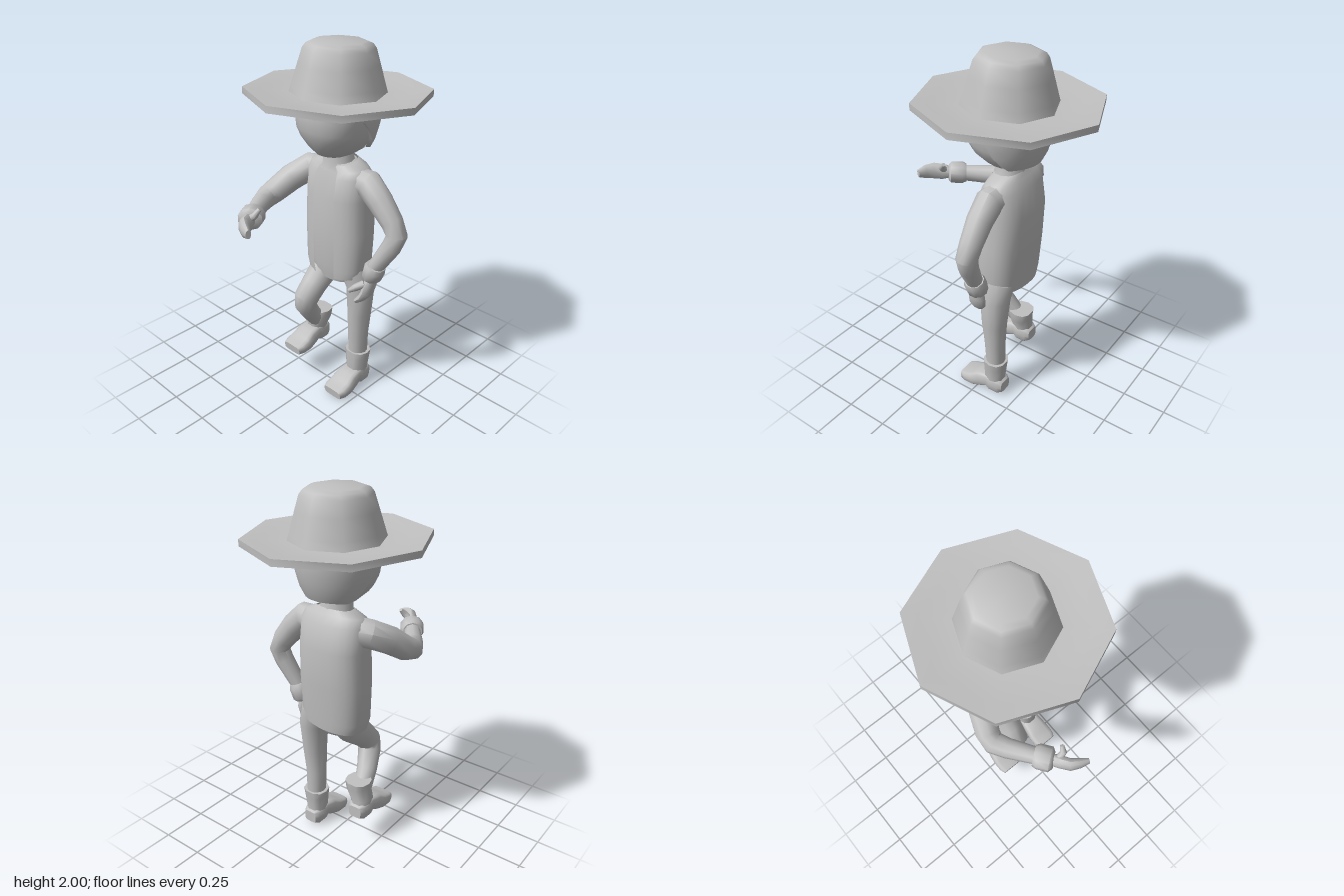
import * as THREE from 'three';
import { toCreasedNormals } from 'three/addons/utils/BufferGeometryUtils.js';

const grey = new THREE.MeshStandardMaterial({ color: 0xc0c0c0, side: THREE.DoubleSide });
grey.name = 'plain grey';

// Skin a list of rings (equal-length arrays of Vector3), optionally closed and capped
function skin(rings, closed = true, caps = true) {
  const n = rings[0].length, pos = [], idx = [];
  rings.forEach((r) => r.forEach((p) => pos.push(p.x, p.y, p.z)));
  const cols = closed ? n : n - 1;
  for (let i = 0; i < rings.length - 1; i++) {
    for (let j = 0; j < cols; j++) {
      const k = (j + 1) % n, a = i * n + j, b = i * n + k;
      idx.push(a, b, b + n, a, b + n, a + n);
    }
  }
  if (caps) {
    [0, rings.length - 1].forEach((i) => {
      const c = new THREE.Vector3();
      rings[i].forEach((p) => c.addScaledVector(p, 1 / n));
      const ci = pos.length / 3;
      pos.push(c.x, c.y, c.z);
      for (let j = 0; j < n; j++) {
        const a = i * n + j, b = i * n + ((j + 1) % n);
        if (i === 0) idx.push(ci, b, a); else idx.push(ci, a, b);
      }
    });
  }
  const g = new THREE.BufferGeometry();
  g.setAttribute('position', new THREE.Float32BufferAttribute(pos, 3));
  g.setIndex(idx);
  return toCreasedNormals(g, 0.9);
}

// Rounded cross-sections [x, y, z, a, b] swept along their centres; a lies along "side"
function sweep(pts, { side = [1, 0, 0], n = 10, e = 2, arc = null } = {}) {
  const c = pts.map((p) => new THREE.Vector3(p[0], p[1], p[2]));
  const rings = pts.map((p, i) => {
    const t = c[Math.min(i + 1, c.length - 1)].clone().sub(c[Math.max(i - 1, 0)]).normalize();
    const u = new THREE.Vector3(...side);
    u.addScaledVector(t, -u.dot(t)).normalize();
    const v = t.clone().cross(u);
    const ring = [];
    for (let j = 0; j < n; j++) {
      const q = arc ? arc[0] + (arc[1] - arc[0]) * j / (n - 1) : j / n * Math.PI * 2;
      const f = (s) => Math.sign(s) * Math.pow(Math.abs(s), 2 / e);
      ring.push(c[i].clone().addScaledVector(u, p[3] * f(Math.cos(q)))
        .addScaledVector(v, (p[4] ?? p[3]) * f(Math.sin(q))));
    }
    return ring;
  });
  return skin(rings, !arc, !arc);
}

function lathe(points, sides) {
  const g = new THREE.LatheGeometry(points.map((p) => new THREE.Vector2(...p)), sides);
  return toCreasedNormals(g, 0.9);
}

// Piecewise-linear lookup in [[key, value], ...] with rising keys
function lookup(table, x) {
  if (x <= table[0][0]) return table[0][1];
  for (let i = 1; i < table.length; i++) {
    const [x0, y0] = table[i - 1], [x1, y1] = table[i];
    if (x <= x1) return y0 + (y1 - y0) * (x - x0) / (x1 - x0);
  }
  return table[table.length - 1][1];
}

// Hair shell with a jagged fringe and a longer back
function hairGeometry() {
  const n = 32, rows = 6, rings = [];
  const edge = [[-0.27, 1.47], [-0.2, 1.465], [-0.14, 1.51], [-0.1, 1.58], [-0.03, 1.65], [0.03, 1.67]];
  const width = [[1.46, 0.165], [1.52, 0.195], [1.62, 0.22], [1.72, 0.225]];
  for (let i = -1; i <= rows; i++) {
    const ring = [];
    for (let j = 0; j < n; j++) {
      const q = j / n * Math.PI * 2, z = -0.08 - 0.225 * Math.sin(q);
      const low = lookup(edge, z) + (z > 0.03 ? [0.012, -0.012, 0.004][j % 3] : 0);
      const y = low + (1.75 - low) * Math.max(i, 0) / rows;
      const r = lookup(width, y) * (i < 0 ? 0.86 : 1);
      ring.push(new THREE.Vector3(r * Math.cos(q), y, -0.08 - r * Math.sin(q)));
    }
    rings.push(ring);
  }
  return skin(rings, true, false);
}

// Boot: upright shaft, foot with arch and toe
function makeBoot(add, name, dx, dy, dz, lean) {
  const boot = new THREE.Group();
  boot.name = name;
  add(name + 'Shaft', sweep([
    [0, 0.04, -0.105, 0.055, 0.055], [0, 0.12, -0.1, 0.058, 0.06],
    [lean, 0.19, -0.103, 0.066, 0.064], [lean, 0.235, -0.105, 0.073, 0.067],
  ], { e: 2.4 }), boot);
  add(name + 'Foot', sweep([
    [0, 0.06, -0.17, 0.04, 0.035], [0, 0.06, -0.145, 0.055, 0.05],
    [0, 0.065, -0.095, 0.06, 0.053], [0, 0.078, -0.07, 0.06, 0.045],
    [0, 0.065, -0.02, 0.067, 0.05], [0, 0.042, 0.03, 0.074, 0.042],
    [0, 0.034, 0.08, 0.074, 0.033], [0, 0.03, 0.112, 0.062, 0.026],
  ], { n: 16, e: 4 }), boot);
  boot.position.set(dx, dy, dz);
  return boot;
}

export function createModel() {
  const model = new THREE.Group();
  model.name = 'figure';
  const add = (name, geometry, parent = model) => {
    const m = new THREE.Mesh(geometry, grey);
    m.name = name;
    parent.add(m);
    return m;
  };

  // Eight-sided hat, tipped slightly back
  const hat = new THREE.Group();
  hat.name = 'hat';
  hat.position.set(0, 1.74, -0.08);
  hat.rotation.x = -0.026;
  add('hatBrim', lathe([[0, -0.015], [0.2, -0.025], [0.3, -0.022], [0.4, -0.012],
    [0.478, -0.007], [0.478, 0.028], [0.4, 0.02], [0.3, 0.008], [0.22, 0.008]], 8), hat);
  add('hatCrown', lathe([[0.25, 0], [0.235, 0.05], [0.205, 0.15], [0.182, 0.225],
    [0.165, 0.248], [0.135, 0.26], [0, 0.262]], 8), hat);
  model.add(hat);

  // Head, hair and neck
  add('head', sweep([
    [0, 1.43, -0.02, 0.06, 0.07], [0, 1.455, -0.025, 0.105, 0.115], [0, 1.5, -0.04, 0.16, 0.163],
    [0, 1.56, -0.055, 0.193, 0.188], [0, 1.64, -0.06, 0.203, 0.198], [0, 1.74, -0.065, 0.2, 0.195],
  ], { n: 20, e: 2.2 }));
  add('hair', hairGeometry());
  add('neck', sweep([[0, 1.35, -0.09, 0.115, 0.095], [0, 1.4, -0.09, 0.085, 0.08],
    [0, 1.5, -0.085, 0.085, 0.08]], { n: 12 }));

  // Shirt showing between the jacket panels
  add('shirt', sweep([
    [0, 0.71, -0.095, 0.14, 0.1], [0, 0.8, -0.09, 0.165, 0.115], [0, 1.0, -0.095, 0.18, 0.122],
    [0, 1.2, -0.1, 0.18, 0.126], [0, 1.34, -0.095, 0.17, 0.095], [0, 1.395, -0.09, 0.1, 0.075],
  ], { n: 20, e: 2.5 }));

  // Open jacket
  add('jacket', sweep([
    [0.012, 0.735, -0.09, 0.182, 0.125], [0.008, 0.79, -0.09, 0.196, 0.13],
    [0.004, 1.0, -0.098, 0.202, 0.136], [0, 1.2, -0.105, 0.195, 0.138],
    [0, 1.33, -0.1, 0.195, 0.115], [0, 1.37, -0.095, 0.175, 0.09], [0, 1.397, -0.09, 0.105, 0.078],
  ], { n: 25, e: 2.5, arc: [-Math.PI / 2 + 0.3, Math.PI * 1.5 - 0.3] }));

  // Left arm hangs down with the elbow out
  add('leftSleeve', sweep([
    [0.12, 1.3, -0.1, 0.075, 0.075], [0.2, 1.3, -0.1, 0.072, 0.08], [0.28, 1.23, -0.1, 0.066, 0.072],
    [0.36, 1.135, -0.105, 0.058, 0.062], [0.395, 1.07, -0.105, 0.056, 0.058],
    [0.37, 1.0, -0.095, 0.053, 0.053], [0.285, 0.85, -0.07, 0.043, 0.043],
  ], { side: [0, 0, 1] }));
  add('leftCuff', sweep([[0.295, 0.87, -0.07, 0.054, 0.05], [0.285, 0.845, -0.07, 0.062, 0.06],
    [0.265, 0.79, -0.07, 0.058, 0.054], [0.26, 0.775, -0.07, 0.045, 0.04]], { side: [0, 0, 1] }));
  add('leftHand', sweep([
    [0.265, 0.79, -0.065, 0.03, 0.028], [0.262, 0.74, -0.06, 0.05, 0.03],
    [0.25, 0.69, -0.055, 0.05, 0.029], [0.225, 0.65, -0.04, 0.038, 0.022],
    [0.195, 0.622, -0.025, 0.02, 0.013],
  ], { side: [0, 0, 1] }));
  add('leftThumb', sweep([[0.25, 0.755, -0.03, 0.022], [0.215, 0.73, 0.005, 0.02],
    [0.18, 0.7, 0.012, 0.012]], { side: [0, 0, 1], n: 8 }));

  // Right arm reaches forward with the elbow bent
  add('rightSleeve', sweep([
    [-0.12, 1.3, -0.1, 0.075, 0.075], [-0.2, 1.295, -0.08, 0.078, 0.075],
    [-0.255, 1.24, 0.02, 0.074, 0.07], [-0.295, 1.175, 0.11, 0.066, 0.064],
    [-0.3, 1.155, 0.165, 0.06, 0.06], [-0.265, 1.155, 0.23, 0.053, 0.053],
    [-0.165, 1.165, 0.375, 0.043, 0.043],
  ], { side: [0, 1, 0] }));
  add('rightCuff', sweep([[-0.188, 1.165, 0.345, 0.05, 0.054], [-0.175, 1.165, 0.362, 0.06, 0.066],
    [-0.138, 1.167, 0.415, 0.06, 0.066], [-0.128, 1.168, 0.427, 0.044, 0.046]], { side: [0, 1, 0] }));
  add('rightHand', sweep([
    [-0.14, 1.168, 0.41, 0.03, 0.03], [-0.11, 1.17, 0.455, 0.048, 0.032],
    [-0.08, 1.175, 0.5, 0.05, 0.03], [-0.04, 1.178, 0.525, 0.042, 0.024],
    [0.002, 1.178, 0.543, 0.024, 0.014],
  ], { side: [0, 1, 0] }));
  add('rightThumb', sweep([[-0.105, 1.19, 0.44, 0.02], [-0.075, 1.215, 0.435, 0.018],
    [-0.065, 1.245, 0.41, 0.011]], { side: [0, 0, 1], n: 8 }));

  // Trousers: hips, straight left leg and bent right leg
  add('hips', sweep([[0.01, 0.68, -0.1, 0.08, 0.06], [0.01, 0.72, -0.1, 0.145, 0.09],
    [0.01, 0.82, -0.095, 0.165, 0.11]], { n: 16, e: 2.4 }));
  add('leftLeg', sweep([
    [0.13, 0.78, -0.1, 0.085, 0.1], [0.158, 0.68, -0.105, 0.08, 0.085],
    [0.158, 0.5, -0.1, 0.066, 0.072], [0.152, 0.36, -0.1, 0.059, 0.06], [0.15, 0.2, -0.105, 0.055, 0.055],
  ], { n: 12 }));
  add('rightLeg', sweep([
    [-0.075, 0.8, -0.12, 0.085, 0.09], [-0.08, 0.72, -0.08, 0.082, 0.09],
    [-0.085, 0.63, 0.02, 0.073, 0.075], [-0.088, 0.565, 0.08, 0.07, 0.07],
    [-0.1, 0.51, 0.075, 0.066, 0.06], [-0.13, 0.42, 0.01, 0.058, 0.055],
    [-0.15, 0.33, -0.06, 0.05, 0.05],
  ], { n: 12 }));

  // Boots; the right one is raised
  model.add(makeBoot(add, 'leftBoot', 0.15, 0, 0, 0));
  model.add(makeBoot(add, 'rightBoot', -0.163, 0.165, 0.02, 0.022));
  return model;
}
